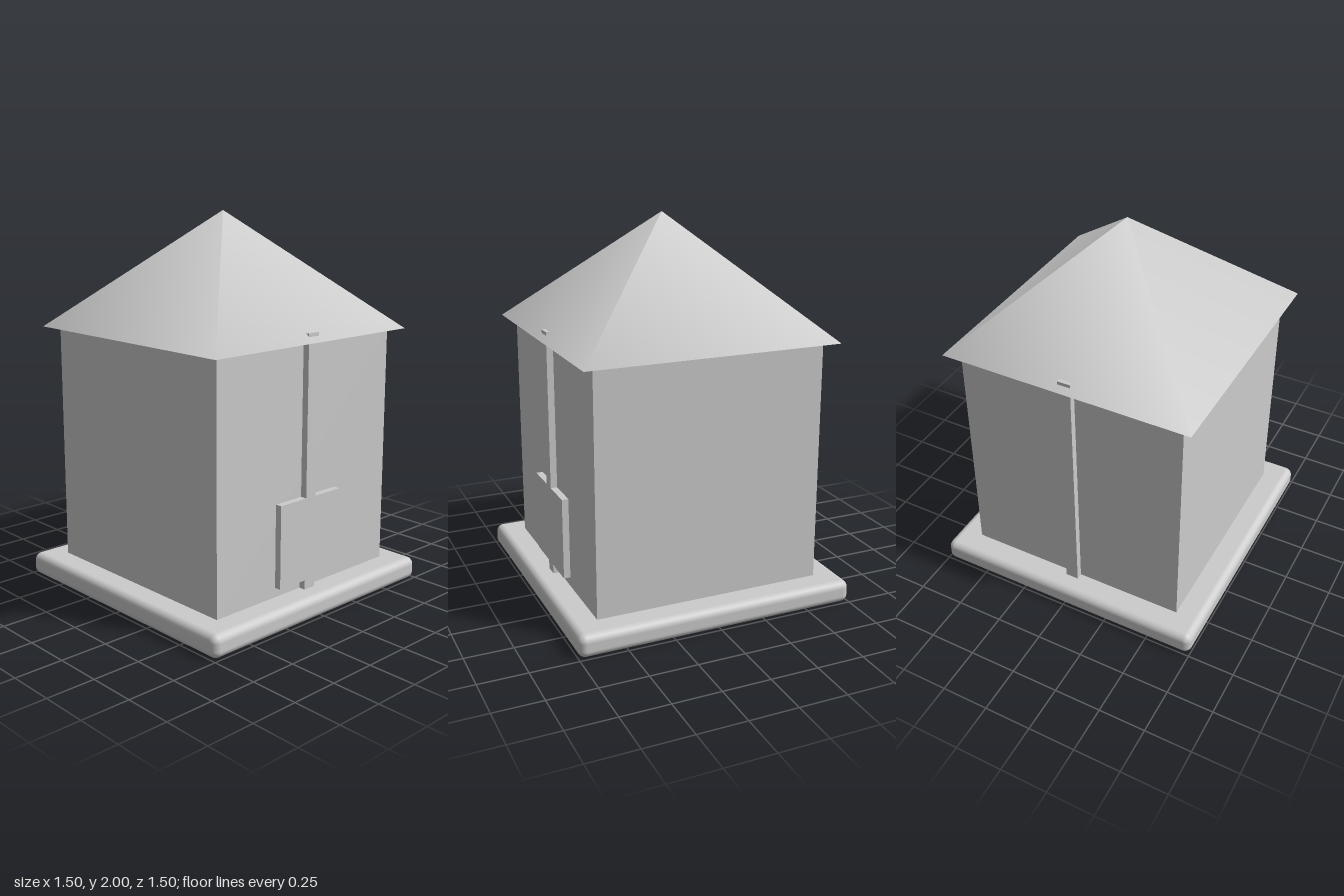
import * as THREE from 'three';
import { RoundedBoxGeometry } from 'three/addons/geometries/RoundedBoxGeometry.js';

export function createModel() {
  const model = new THREE.Group();
  model.name = 'smallHouse';
  const lightGrey = new THREE.MeshStandardMaterial({ color: 0xcccccc });
  lightGrey.name = 'lightGrey';

  const add = (name, geometry, x, y, z) => {
    const mesh = new THREE.Mesh(geometry, lightGrey);
    mesh.name = name;
    mesh.position.set(x, y, z);
    model.add(mesh);
    return mesh;
  };

  // Rounded plinth and square body
  add('base', new RoundedBoxGeometry(1.5, 0.12, 1.5, 5, 0.04), 0, 0.06, 0);
  add('walls', new THREE.BoxGeometry(1.22, 1.28, 1.22), 0, 0.75, 0);

  // Four-sided roof with softly shaded faces
  const roof = add('roof', new THREE.ConeGeometry(0.675 * Math.SQRT2, 0.61, 4), 0, 1.695, 0);
  roof.rotation.y = Math.PI / 4;

  // Upright strips whose tops poke through the eaves; the front one widens into a panel
  const bottom = 0.1, top = 1.435, half = 0.035;
  const panel = { half: 0.215, bottom: 0.17, top: 0.605 };
  const strip = (rightSide) => {
    const left = rightSide.map(([x, y]) => [-x, y]).reverse();
    const shape = new THREE.Shape([...rightSide, ...left].map(([x, y]) => new THREE.Vector2(x, y)));
    return new THREE.ExtrudeGeometry(shape, { depth: 0.045, bevelEnabled: false });
  };
  add('frontStripAndPanel', strip([
    [half, bottom], [half, panel.bottom], [panel.half, panel.bottom],
    [panel.half, panel.top], [half, panel.top], [half, top],
  ]), 0, 0, 0.6);
  add('backStrip', strip([[half, bottom], [half, top]]), 0, 0, -0.645);

  return model;
}
